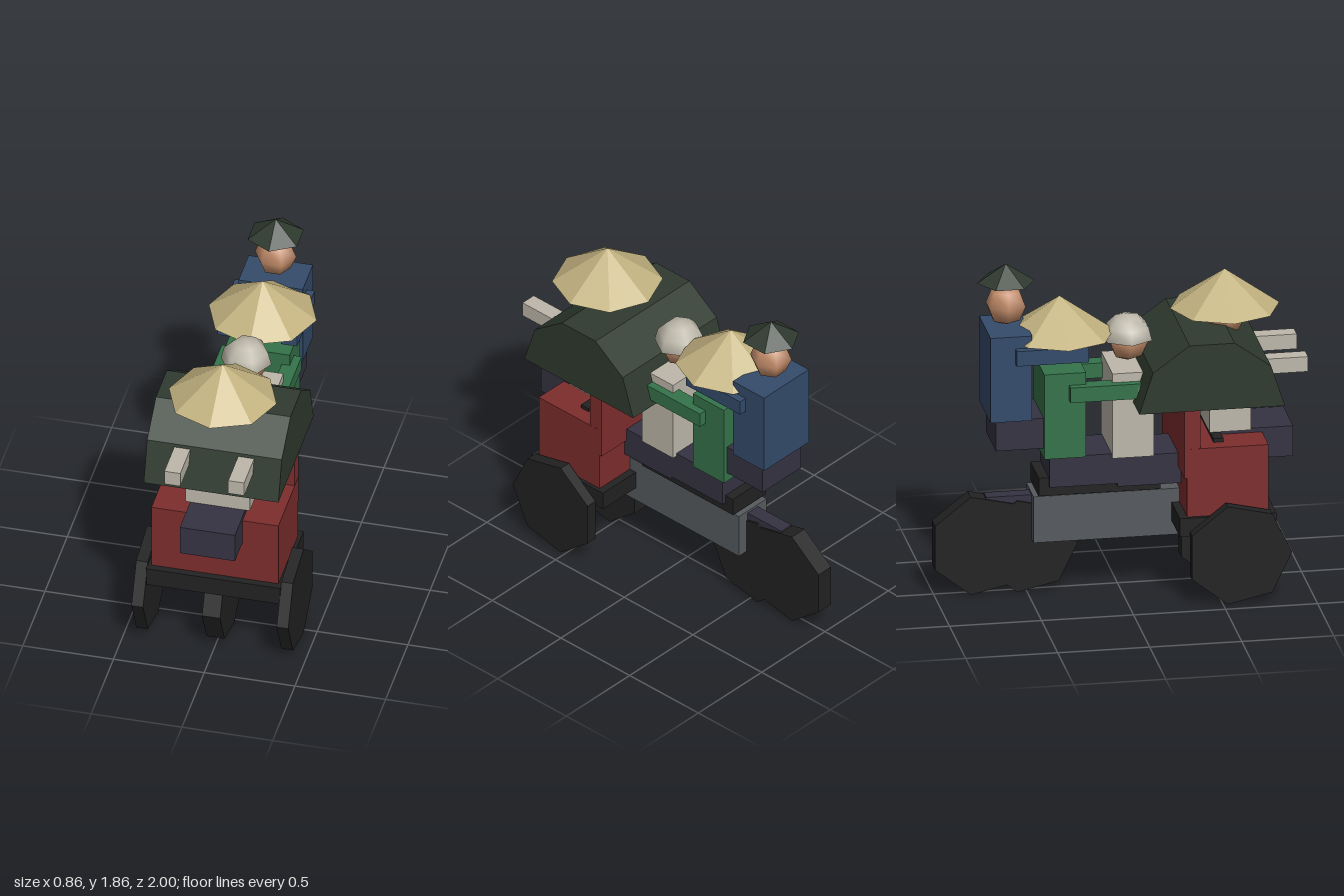
import * as THREE from 'three';

const mat = (name, color, flatShading = false) => {
  const m = new THREE.MeshStandardMaterial({ color, flatShading });
  m.name = name;
  return m;
};

export function createModel() {
  const M = {
    red: mat('red paint', 0x7e2d2d),
    canopy: mat('dark green cloth', 0x2f3a2f, true),
    straw: mat('straw', 0xc2b280, true),
    skin: mat('skin', 0xc08a68),
    cream: mat('cream', 0xbdb8aa),
    blue: mat('blue shirt', 0x344b6b),
    green: mat('green shirt', 0x35734a),
    pants: mat('dark trousers', 0x353342),
    metal: mat('grey metal', 0x565b5f),
    black: mat('black rubber', 0x222222, true),
  };
  const model = new THREE.Group();
  model.name = 'loadedTricycle';

  const add = (parent, name, geometry, material, x = 0, y = 0, z = 0) => {
    const mesh = new THREE.Mesh(geometry, material);
    mesh.name = name;
    mesh.position.set(x, y, z);
    parent.add(mesh);
    return mesh;
  };
  // Box centred on x, given half width and y / z ranges
  const box = (parent, name, material, hw, y0, y1, z0, z1, x = 0) =>
    add(parent, name, new THREE.BoxGeometry(hw * 2, y1 - y0, z1 - z0), material,
      x, (y0 + y1) / 2, (z0 + z1) / 2);

  // Seven-sided wheels with a corner pointing forward
  const wheel = (name, x, z, r, width) => {
    const g = new THREE.CylinderGeometry(r, r, width, 7);
    g.rotateZ(Math.PI / 2);
    add(model, name, g, M.black, x, r, z);
  };
  for (const s of [-1, 1]) wheel(s > 0 ? 'leftCartWheel' : 'rightCartWheel', s * 0.4, 0.588, 0.286, 0.064);
  wheel('rearCartWheel', 0, -0.742, 0.286, 0.1);
  wheel('scooterFrontWheel', 0, 0.58, 0.267, 0.1);
  wheel('scooterRearWheel', 0, -0.493, 0.267, 0.1);

  // Chassis
  box(model, 'frame', M.metal, 0.11, 0.305, 0.568, -0.475, 0.5);
  box(model, 'axleBeam', M.black, 0.37, 0.385, 0.49, 0.275, 0.8);
  box(model, 'saddle', M.black, 0.13, 0.577, 0.68, -0.45, 0.21);
  box(model, 'rearFender', M.pants, 0.04, 0.5, 0.555, -0.72, -0.45);
  box(model, 'crossBar', M.black, 0.267, 0.876, 0.897, 0.475, 0.53);

  // Passenger cabin
  box(model, 'cabinTub', M.red, 0.35, 0.49, 0.876, 0.318, 0.76);
  box(model, 'cabinBackrest', M.red, 0.349, 0.71, 1.2, 0.303, 0.39);

  // Five-sided arched canopy
  const arch = new THREE.Shape();
  for (let i = 0; i <= 5; i++) {
    const a = (i / 5) * Math.PI;
    arch[i ? 'lineTo' : 'moveTo'](0.396 * Math.cos(a), 0.394 * Math.sin(a));
  }
  arch.closePath();
  const canopy = new THREE.ExtrudeGeometry(arch, { depth: 0.742, bevelEnabled: false });
  canopy.translate(0, 0, -0.371);
  canopy.rotateY(Math.PI / 2);
  add(model, 'canopy', canopy, M.canopy, 0, 1.1, 0.45);

  // Seated rider: hip height y, torso centre z
  const rider = (name, y, z, shirt) => {
    const g = new THREE.Group();
    g.name = name;
    g.position.set(0, y, z);
    model.add(g);
    box(g, 'torso', shirt, 0.177, 0, 0.483, -0.113, 0.113);
    box(g, 'legs', M.pants, 0.152, -0.172, 0, -0.08, 0.345);
    for (const s of [-1, 1])
      box(g, s > 0 ? 'leftArm' : 'rightArm', shirt, 0.044, 0.33, 0.415, 0.022, 0.415, s * 0.176);
    add(g, 'head', new THREE.SphereGeometry(0.114, 6, 4), M.skin, 0, 0.607, 0);
    return g;
  };
  // Cone hat sitting with its rim at y
  const hat = (g, r, h, sides, y, material) =>
    add(g, 'hat', new THREE.ConeGeometry(r, h, sides), material, 0, y + h / 2, 0);

  hat(rider('frontPassenger', 0.9, 0.583, M.cream), 0.297, 0.21, 8, 0.655, M.straw);
  const second = rider('secondRider', 0.785, 0.055, M.cream);
  add(second, 'helmet',
    new THREE.SphereGeometry(0.14, 6, 3, 0, Math.PI * 2, 0, Math.PI / 2), M.cream, 0, 0.62, 0);
  const under = new THREE.CircleGeometry(0.14, 6);
  under.rotateX(Math.PI / 2);
  add(second, 'helmetRim', under, M.cream, 0, 0.62, 0);
  hat(rider('thirdRider', 0.803, -0.315, M.green), 0.297, 0.21, 8, 0.655, M.straw);
  hat(rider('rearRider', 1.03, -0.607, M.blue), 0.156, 0.104, 6, 0.736, M.canopy);

  return model;
}
